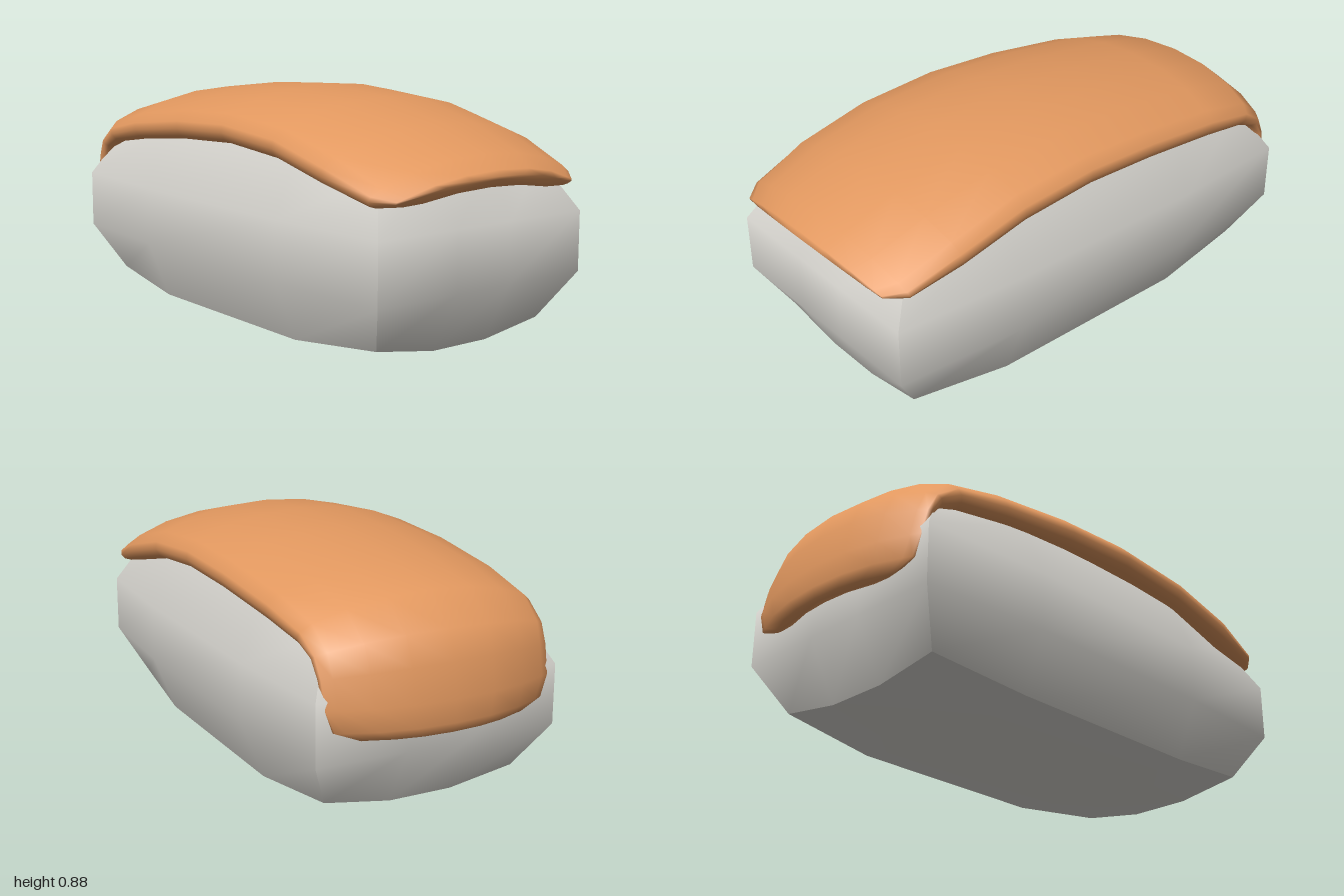
import * as THREE from 'three';

// Faceted block with rounded-off sides: each box face stays smooth, box edges stay sharp
function riceGeometry() {
  const g = new THREE.BoxGeometry(2, 2, 2, 3, 3, 3);
  const p = g.attributes.position;
  for (let i = 0; i < p.count; i++) {
    const c = [p.getX(i), p.getY(i), p.getZ(i)];
    const [ox, oy, oz] = c.map((v) => Math.abs(v) > 0.9);
    const x = ox ? (oy ? 0.805 : 0.916) : 0.415;
    const y = oy ? (ox && oz ? 0.282 : ox || oz ? 0.322 : 0.365) : 0.108;
    const z = oz ? (oy ? (ox ? 0.37 : 0.405) : ox ? 0.46 : 0.49) : oy && !ox ? 0.1 : 0.12;
    p.setXYZ(i, 0.014 + Math.sign(c[0]) * x, 0.367 + Math.sign(c[1]) * y, Math.sign(c[2]) * z);
  }
  g.computeVertexNormals();
  return g;
}

// Stations along the slice: top x, top y, lean in degrees, thickness, half width
const STATIONS = [
  [-0.985, 0.335, -90, 0.04, 0.31],
  [-1.0, 0.37, -90, 0.08, 0.4],
  [-1.0, 0.45, -87, 0.09, 0.43],
  [-0.98, 0.57, -75, 0.1, 0.435],
  [-0.94, 0.67, -58, 0.12, 0.44],
  [-0.82, 0.77, -30, 0.14, 0.448],
  [-0.57, 0.83, -11, 0.15, 0.46],
  [-0.23, 0.87, -6, 0.155, 0.472],
  [0.09, 0.885, 0, 0.155, 0.477],
  [0.42, 0.86, 9, 0.155, 0.48],
  [0.71, 0.79, 16, 0.15, 0.48],
  [0.92, 0.71, 22, 0.12, 0.455],
  [0.985, 0.665, 30, 0.07, 0.4],
  [0.993, 0.645, 40, 0.03, 0.33],
];

// Arched cross-section as [z, depth below the top], running over the top and back underneath
function section(t, w) {
  const arch = Math.min(0.085, 0.035 + 0.5 * t);
  const low = t + 0.035;
  const side = (f) => arch + (low - arch) * f;
  const half = [
    [0.35, arch * 0.12], [0.66, arch * 0.47], [0.91, arch],
    [0.99, side(0.35)], [1, side(0.62)], [0.97, side(0.87)], [0.91, low],
    [0.7, t + 0.031], [0.35, t + 0.007],
  ];
  const mirrored = half.map(([s, d]) => [-s, d]).reverse();
  return [[0, 0], ...half, [0, t], ...mirrored].map(([s, d]) => [s * w, d]);
}

// Slice swept through the stations, with closed ends
function sliceGeometry() {
  const pos = [], idx = [];
  let n = 0;
  for (const [x, y, deg, t, w] of STATIONS) {
    const a = THREE.MathUtils.degToRad(deg);
    const ring = section(t, w);
    n = ring.length;
    for (const [z, d] of ring) pos.push(x - Math.sin(a) * d, y - Math.cos(a) * d, z);
  }
  const last = STATIONS.length - 1;
  for (let i = 0; i < last; i++) {
    for (let j = 0; j < n; j++) {
      const k = (j + 1) % n;
      const a = i * n + j, c = i * n + k, b = a + n, d = c + n;
      idx.push(a, c, b, b, c, d);
    }
  }
  for (const s of [0, last]) {
    const centre = pos.length / 3;
    const top = s * n * 3, under = (s * n + n / 2) * 3;
    for (let q = 0; q < 3; q++) pos.push((pos[top + q] + pos[under + q]) / 2);
    for (let j = 0; j < n; j++) {
      const a = s * n + j, b = s * n + ((j + 1) % n);
      if (s) idx.push(centre, a, b);
      else idx.push(centre, b, a);
    }
  }
  const g = new THREE.BufferGeometry();
  g.setAttribute('position', new THREE.Float32BufferAttribute(pos, 3));
  g.setIndex(idx);
  g.computeVertexNormals();
  return g;
}

export function createModel() {
  const riceWhite = new THREE.MeshStandardMaterial({ color: 0xdedcd6 });
  riceWhite.name = 'riceWhite';
  const salmonOrange = new THREE.MeshStandardMaterial({ color: 0xe2985f });
  salmonOrange.name = 'salmonOrange';

  const model = new THREE.Group();
  model.name = 'sushi';
  const rice = new THREE.Mesh(riceGeometry(), riceWhite);
  rice.name = 'riceBlock';
  const slice = new THREE.Mesh(sliceGeometry(), salmonOrange);
  slice.name = 'fishSlice';
  model.add(rice, slice);
  return model;
}
